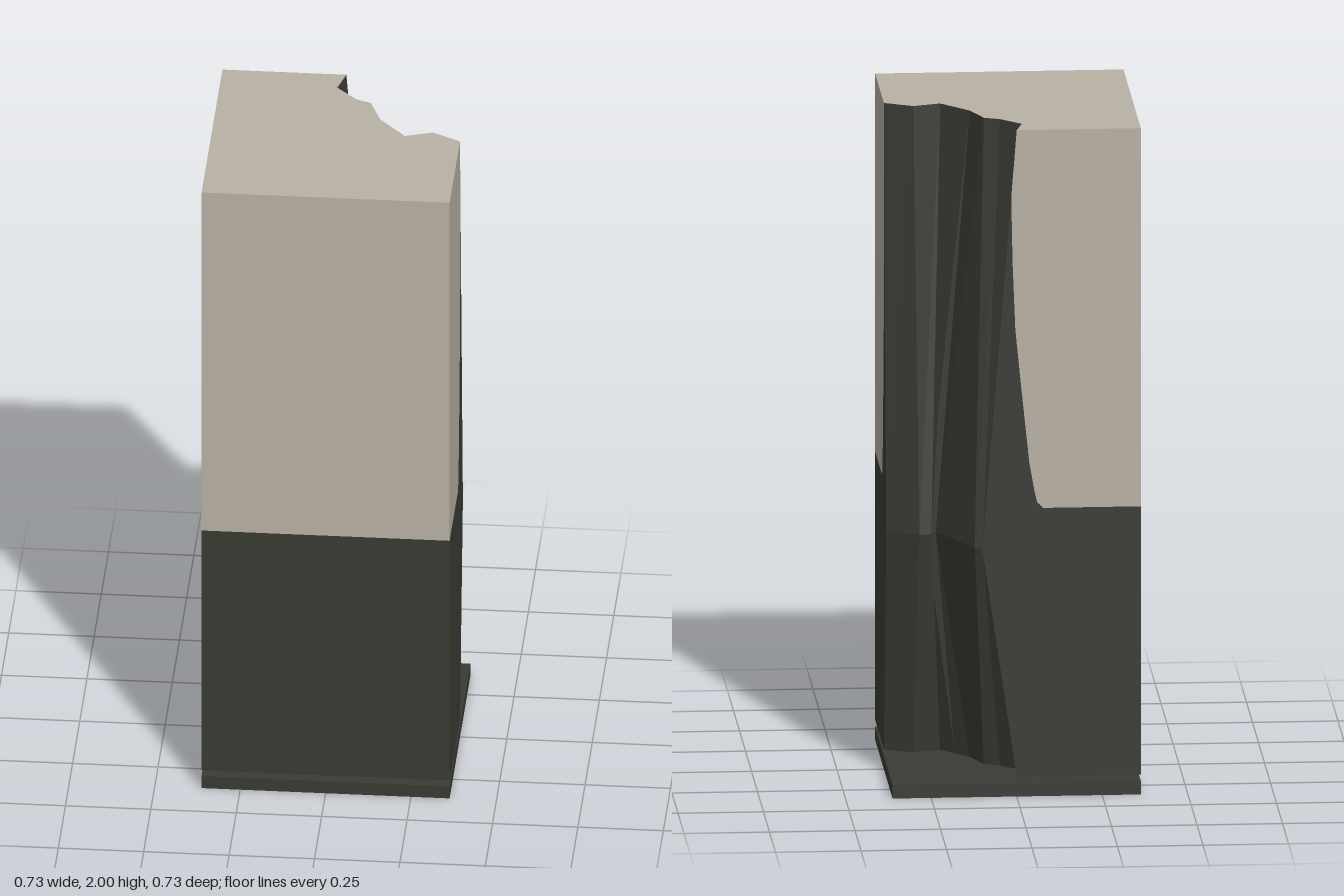
import * as THREE from 'three';

const H = 0.363, Y0 = 0.06, YM = 0.74, Y1 = 2, PAINT = 0.865;

// Broken corner as [x, z], from the back face round to the +x face
const END = [[0, -H], [-0.02, -0.285], [0.04, -0.222], [0.085, -0.203], [0.12, -0.11],
  [0.16, -0.064], [0.2, -0.018], [0.28, -0.045], [H, 0]];
const MID = [[0.1, -H], [0.096, -0.347], [0.097, -0.33], [0.12, -0.322], [0.22, -0.125],
  [0.25, -0.13], [0.235, -0.155], [0.27, -0.158], [H, -0.1]];

// Edge of the light upper part beside the break, as [offset, y] going down
const BORDER = [[0.016, 1.8], [0.012, 1.6], [0.004, 1.4], [-0.016, 1.2], [-0.037, 1],
  [-0.053, 0.91], [-0.06, 0.882], [-0.078, PAINT]];

export function createModel() {
  const light = new THREE.MeshStandardMaterial({ color: 0xb9b1a5 });
  light.name = 'warmGrey';
  const dark = new THREE.MeshStandardMaterial({ color: 0x3b3b35, side: THREE.DoubleSide });
  dark.name = 'charcoal';
  const group = new THREE.Group();
  group.name = 'brokenColumn';

  const add = (name, geometry, material) => {
    const mesh = new THREE.Mesh(geometry, material);
    mesh.name = name;
    group.add(mesh);
    return mesh;
  };
  const flat = (pts) => new THREE.ShapeGeometry(
    new THREE.Shape(pts.map(([u, v]) => new THREE.Vector2(u, v))));
  const wall = (name, pts, angle, material) =>
    add(name, flat(pts).translate(0, 0, H).rotateY(angle), material);

  // Separate base plate
  add('basePlate', new THREE.BoxGeometry(2 * H, 0.04, 2 * H), dark).position.y = 0.02;

  // Two whole walls, dark below and light above
  const rect = (a, b) => [[-H, a], [H, a], [H, b], [-H, b]];
  for (const [name, angle] of [['front', 0], ['right', -Math.PI / 2]]) {
    wall(name + 'LowerWall', rect(Y0, PAINT), angle, dark);
    wall(name + 'UpperWall', rect(PAINT, Y1), angle, light);
  }

  // Two walls that run into the broken corner, mirrored
  const lower = [[-H, Y0], [0, Y0], [0.1, YM], ...BORDER, [-H, PAINT]];
  const upper = [[-H, Y1], [0, Y1], ...BORDER, [-H, PAINT]];
  for (const [name, angle, m] of [['left', Math.PI / 2, 1], ['back', Math.PI, -1]]) {
    const mirror = (pts) => pts.map(([u, v]) => [u * m, v]);
    wall(name + 'LowerWall', mirror(lower), angle, dark);
    wall(name + 'UpperWall', mirror(upper), angle, light);
  }

  // Top and underside
  const outline = [...END, [H, H], [-H, H], [-H, -H]];
  add('columnTop', flat(outline.map(([x, z]) => [x, -z])).rotateX(-Math.PI / 2).translate(0, Y1, 0), light);
  add('columnUnderside', flat(outline).rotateX(Math.PI / 2).translate(0, Y0, 0), dark);

  // Faceted broken surface lofted between three sections
  const sections = [[END, Y0], [MID, YM], [END, Y1]];
  const verts = [];
  for (let s = 0; s < 2; s++) {
    const point = (k, i) => {
      const [pts, y] = sections[s + k];
      return [pts[i][0], y, pts[i][1]];
    };
    for (let i = 0; i < END.length - 1; i++) {
      const a = point(0, i), b = point(0, i + 1), c = point(1, i), d = point(1, i + 1);
      verts.push(...a, ...c, ...b, ...b, ...c, ...d);
    }
  }
  const broken = new THREE.BufferGeometry();
  broken.setAttribute('position', new THREE.Float32BufferAttribute(verts, 3));
  broken.computeVertexNormals();
  add('brokenCorner', broken, dark);

  return group;
}
